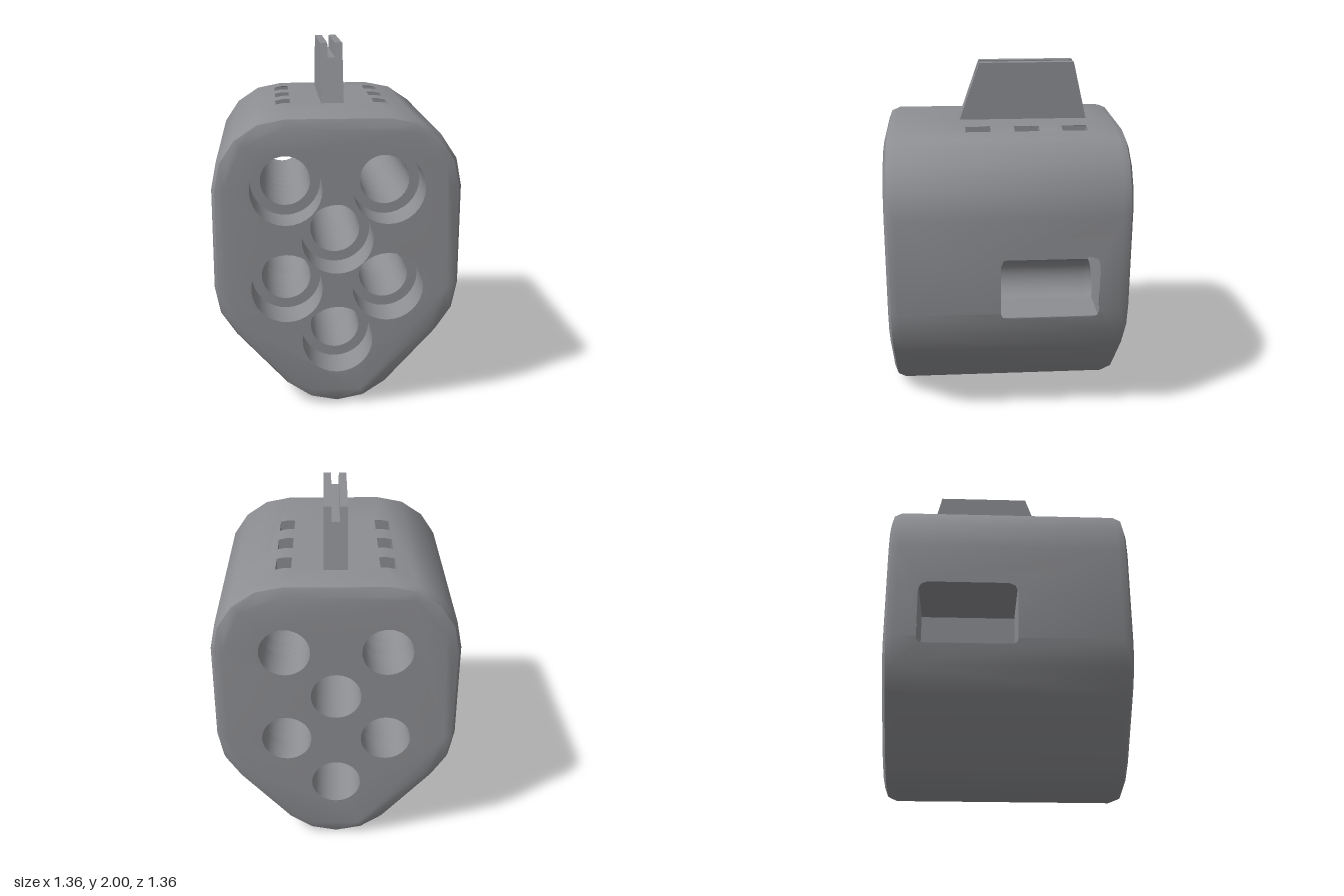
import * as THREE from 'three';
import { mergeGeometries, toCreasedNormals } from 'three/addons/utils/BufferGeometryUtils.js';

const grey = new THREE.MeshStandardMaterial({ color: 0x8d8e92, side: THREE.DoubleSide });
grey.name = 'grey';

const V = (x, y) => new THREE.Vector2(x, y);
const rad = THREE.MathUtils.degToRad;
const HOLE = 0.14, BORE = 0.197, STEP = 0.46, END = 0.68, SIDE = 0.62;

// Points on an arc, angles in degrees
function arc(cx, cy, r, a0, a1, n) {
  return Array.from({ length: n + 1 }, (_, i) => {
    const a = rad(a0 + ((a1 - a0) * i) / n);
    return V(cx + r * Math.cos(a), cy + r * Math.sin(a));
  });
}

// Rounded shield outline, counter-clockwise
const outline = (r) => [
  ...arc(0, 0.4, r, -135, -45, 4), ...arc(0.28, 0.71, r, -45, 0, 2),
  ...arc(0.28, 1.27, r, 0, 90, 4), ...arc(-0.28, 1.27, r, 90, 180, 4),
  ...arc(-0.28, 0.71, r, 180, 225, 2),
];

const plain = (g) => {
  const out = g.index ? g.toNonIndexed() : g;
  out.deleteAttribute('uv');
  return out;
};
const smooth = (list) => toCreasedNormals(mergeGeometries(list.map(plain)), 0.6);
const mesh = (name, geometry) => {
  const m = new THREE.Mesh(geometry, grey);
  m.name = name;
  return m;
};

// Notch points on a strip edge: [z0, z1, depth, corner radius]
function notch([z0, z1, d, r]) {
  if (!r) return [[0, z0], [d, z0], [d, z1], [0, z1]];
  const k = 0.3 * r;
  return [[0, z0], [d - r, z0], [d - k, z0 + k], [d, z0 + r],
    [d, z1 - r], [d - k, z1 - k], [d - r, z1], [0, z1]];
}

// Flat strip from a to b along z, facing right of travel, with edge notches
function strip(a, b, z0, z1, cutA = [], cutB = []) {
  const L = a.distanceTo(b);
  const pts = [V(0, z0), V(L, z0)];
  cutB.forEach((c) => notch(c).forEach(([s, z]) => pts.push(V(L - s, z))));
  pts.push(V(L, z1), V(0, z1));
  [...cutA].reverse().forEach((c) => notch(c).reverse().forEach(([s, z]) => pts.push(V(s, z))));
  const g = new THREE.ShapeGeometry(new THREE.Shape(pts));
  const p = g.attributes.position;
  for (let i = 0; i < p.count; i++) {
    const t = p.getX(i) / L, z = p.getY(i);
    p.setXYZ(i, a.x + (b.x - a.x) * t, a.y + (b.y - a.y) * t, z);
  }
  return g;
}

// Wall following a path, extended along z
const wall = (path, z0, z1) =>
  smooth(path.slice(1).map((b, i) => strip(path[i], b, z0, z1)));

// Closed band between two outlines; p lies behind q
function band(p, zp, q, zq) {
  const v = [];
  p.forEach((a, i) => {
    const j = (i + 1) % p.length, b = p[j], c = q[j], d = q[i];
    v.push(a.x, a.y, zp, b.x, b.y, zp, c.x, c.y, zq, a.x, a.y, zp, c.x, c.y, zq, d.x, d.y, zq);
  });
  const g = new THREE.BufferGeometry();
  g.setAttribute('position', new THREE.Float32BufferAttribute(v, 3));
  g.computeVertexNormals();
  return g;
}

const sideHoles = [[0.28, 1.27], [0.28, 0.71]];
const centres = [[0, 0.99], [0, 0.4], ...sideHoles, ...sideHoles.map(([x, y]) => [-x, y])];

// End face pierced by the six holes
function cap(r) {
  const s = new THREE.Shape(outline(0.335));
  s.holes = centres.map(([x, y]) => new THREE.Path(arc(x, y, r, 0, 360, 32).slice(0, -1)));
  return new THREE.ShapeGeometry(s).translate(0, 0, END);
}

const windowZ = [-0.5, 0.05];
const slotZ = [[-0.46, -0.32], [-0.19, -0.05], [0.085, 0.225]];

// Outer casing: sides with openings, two-step bevels and end faces
function casing() {
  const o = outline(0.4), mid = outline(0.382), face = outline(0.335);
  const win = (d, r) => [[...windowZ, d, r]];
  const slots = (d) => slotZ.map((z) => [...z, d, 0]);
  const cuts = {
    6: [[], win(0.036, 0.03)], 7: [win(0.33, 0.05), []],
    11: [[], slots(0.046)], 12: [slots(0.04), slots(0.04)], 13: [slots(0.046), []],
    17: [[], win(0.33, 0.05)], 18: [win(0.036, 0.03), []],
  };
  const parts = o.map((a, i) =>
    strip(a, o[(i + 1) % o.length], -SIDE, SIDE, ...(cuts[i] || [])));
  parts.push(
    band(o, SIDE, mid, 0.662), band(mid, 0.662, face, END),
    band(mid, -0.662, o, -SIDE), band(face, -END, mid, -0.662),
    cap(BORE), cap(HOLE).rotateY(Math.PI));
  return mesh('casing', smooth(parts));
}

// Stepped barrel; cuts are z ranges where it opens into a side cavity
function barrel(cx, cy, cuts = [], cavity = null) {
  const g = new THREE.Group();
  g.name = 'barrel';
  const ring = (r) => arc(cx, cy, r, 360, 0, 32);
  g.add(mesh('counterbore', wall(ring(BORE), STEP, END)));
  g.add(mesh('boreStep', new THREE.RingGeometry(HOLE, BORE, 32).translate(cx, cy, STEP)));
  let z = -END;
  for (const [z0, z1] of cuts) {
    const { pre, post, a0, a1 } = cavity;
    g.add(mesh('boreWall', wall(ring(HOLE), z, z0)));
    g.add(mesh('cavityWall',
      wall([...pre, ...arc(cx, cy, HOLE, a0, a1 - 360, 28), ...post], z0, z1)));
    const end = new THREE.ShapeGeometry(
      new THREE.Shape([...pre, ...arc(cx, cy, HOLE, a0, a1, 10), ...post]));
    g.add(mesh('cavityEnd', end.clone().translate(0, 0, z0)));
    g.add(mesh('cavityEnd', end.rotateY(Math.PI).scale(-1, 1, 1).translate(0, 0, z1)));
    z = z1;
  }
  g.add(mesh('boreWall', wall(ring(HOLE), z, STEP)));
  return g;
}

// Fin slice: a trapezoid between two x positions
function finSlice(name, x0, x1, top) {
  const t = (top - 1.67) / 0.33;
  const s = new THREE.Shape([
    V(0.255, 1.66), V(0.255 - 0.12 * t, top), V(-0.49 + 0.08 * t, top), V(-0.49, 1.66)]);
  const g = new THREE.ExtrudeGeometry(s, { depth: x1 - x0, bevelEnabled: false });
  return mesh(name, g.rotateY(-Math.PI / 2).translate(x1, 0, 0));
}

export function createModel() {
  const model = new THREE.Group();
  model.name = 'barrelBlock';
  model.add(casing(), barrel(0, 0.99), barrel(0, 0.4));

  // Side barrels: the upper opens to top slots, the lower to a side window
  const slot = {
    pre: [V(0.325, 1.661)], post: [V(0.24, 1.668)], a0: 71.3, a1: 106.6,
  };
  const sideWindow = {
    pre: [V(0.68, 1.04), V(0.68, 0.71), V(0.665, 0.675)].slice(2),
    post: [V(0.24, 1.04), V(0.68, 1.04), V(0.68, 0.71)].slice(0, 2), a0: -14.5, a1: 106.6,
  };
  const left = new THREE.Group();
  left.name = 'leftBarrels';
  left.add(barrel(...sideHoles[0], slotZ, slot), barrel(...sideHoles[1], [windowZ], sideWindow));
  const right = left.clone();
  right.name = 'rightBarrels';
  right.scale.x = -1;
  model.add(left, right);

  // Grooved top fin
  const fin = new THREE.Group();
  fin.name = 'topFin';
  fin.add(finSlice('finWall', 0.022, 0.065, 2), finSlice('finWall', -0.065, -0.022, 2),
    finSlice('finCore', -0.022, 0.022, 1.92));
  model.add(fin);
  return model;
}
